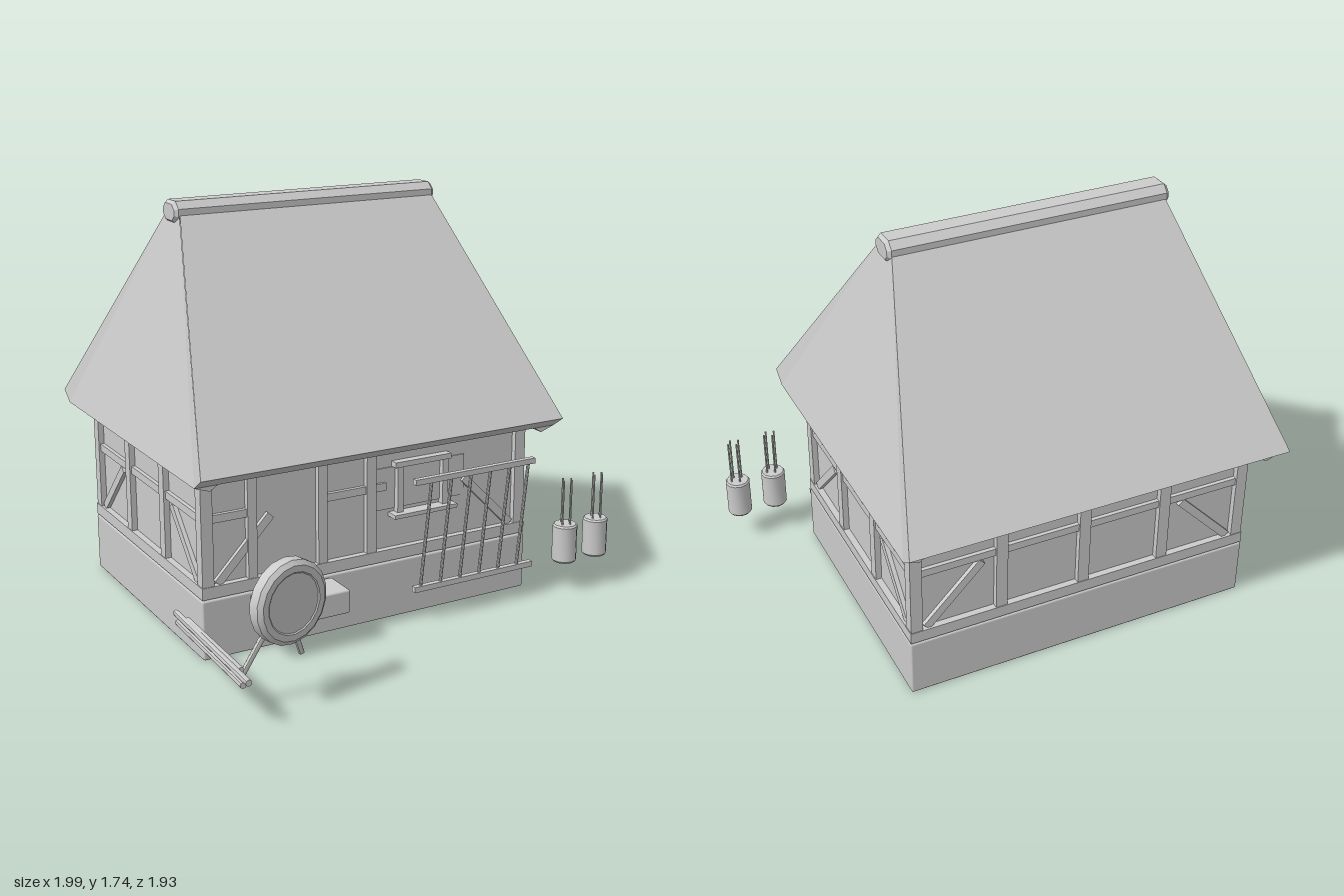
import * as THREE from 'three';
import { toCreasedNormals } from 'three/addons/utils/BufferGeometryUtils.js';
import { RoundedBoxGeometry } from 'three/addons/geometries/RoundedBoxGeometry.js';

const grey = new THREE.MeshStandardMaterial({ color: 0xcccccc });
grey.name = 'plain grey';

const V = (x, y, z) => new THREE.Vector3(x, y, z);

function add(parent, name, geometry) {
  const mesh = new THREE.Mesh(geometry, grey);
  mesh.name = name;
  parent.add(mesh);
  return mesh;
}

// Box given by its limits on each axis
function block(parent, name, x0, x1, y0, y1, z0, z1, bevel = 0) {
  const size = [x1 - x0, y1 - y0, z1 - z0];
  const geo = bevel ? new RoundedBoxGeometry(...size, 1, bevel) : new THREE.BoxGeometry(...size);
  const mesh = add(parent, name, geo);
  mesh.position.set((x0 + x1) / 2, (y0 + y1) / 2, (z0 + z1) / 2);
  return mesh;
}

// Round pole between two points
function pole(parent, name, a, b, r, sides = 8) {
  const geo = toCreasedNormals(new THREE.CylinderGeometry(r, r, a.distanceTo(b), sides), 0.9);
  const mesh = add(parent, name, geo);
  mesh.position.copy(a).lerp(b, 0.5);
  mesh.quaternion.setFromUnitVectors(V(0, 1, 0), b.clone().sub(a).normalize());
  return mesh;
}

// Flat-faced surface from corner loops
function faces(list) {
  const pos = [];
  for (const f of list)
    for (let i = 1; i < f.length - 1; i++) for (const p of [f[0], f[i], f[i + 1]]) pos.push(...p);
  const geo = new THREE.BufferGeometry();
  geo.setAttribute('position', new THREE.Float32BufferAttribute(pos, 3));
  geo.computeVertexNormals();
  return geo;
}

// House limits
const X0 = -0.885, X1 = 0.64, Z0 = -0.79, Z1 = 0.355, CX = (X0 + X1) / 2, CZ = (Z0 + Z1) / 2;

// Timber framing of one wall, drawn in the wall's own plane: u across, v up, outer face at 0
function timberWall(parent, name, width, posts, rails, braces) {
  const wall = new THREE.Group();
  wall.name = name;
  for (const [u, w] of posts) block(wall, 'post', u - w / 2, u + w / 2, 0.3, 0.77, -0.05, 0);
  for (const [a, b] of rails) block(wall, 'rail', a, b, 0.562, 0.595, -0.045, -0.008);
  for (const [a, b] of braces) {
    const dx = b - a, dy = 0.245;
    const beam = add(wall, 'brace', new THREE.BoxGeometry(Math.hypot(dx, dy), 0.035, 0.03));
    beam.position.set((a + b) / 2, 0.43, -0.022);
    beam.rotation.z = Math.atan2(dy, dx);
  }
  block(wall, 'topBeam', -width / 2, width / 2, 0.735, 0.775, -0.05, -0.005);
  parent.add(wall);
  return wall;
}

function buildWalls(house) {
  block(house, 'foundation', -0.89, 0.645, 0, 0.25, -0.795, 0.36, 0.008);
  block(house, 'sillBeam', X0 - 0.003, X1 + 0.003, 0.255, 0.305, Z0 - 0.003, Z1 + 0.003);
  block(house, 'plasterWalls', X0 + 0.025, X1 - 0.025, 0.24, 0.79, Z0 + 0.025, Z1 - 0.025);

  const W = X1 - X0, D = Z1 - Z0, even = (w, n) =>
    Array.from({ length: n + 1 }, (_, i) => [-(w - 0.05) / 2 + (i * (w - 0.05)) / n, 0.05]);
  const ends = (w) => [[-w / 2 + 0.07, -w / 2 + 0.31], [w / 2 - 0.07, w / 2 - 0.31]];

  // Back and both sides share one regular pattern
  const back = timberWall(house, 'backFrame', W, even(W, 4), [[-W / 2, W / 2]], ends(W));
  back.position.set(CX, 0, Z0);
  back.rotation.y = Math.PI;
  for (const s of [-1, 1]) {
    const side = timberWall(house, s > 0 ? 'leftFrame' : 'rightFrame', D, even(D, 3), [[-D / 2, D / 2]], ends(D));
    side.position.set(s > 0 ? X1 : X0, 0, CZ);
    side.rotation.y = (s * Math.PI) / 2;
  }
  // Front with doorway and window
  const u = (x) => x - CX;
  const front = timberWall(house, 'frontFrame', W,
    [[u(-0.86), 0.05], [u(-0.665), 0.04], [u(-0.35), 0.042], [u(-0.123), 0.045], [u(0.615), 0.05]],
    [[u(-0.86), u(-0.665)], [u(-0.33), u(-0.05)]],
    [[u(-0.815), u(-0.58)], [u(0.575), u(0.335)]]);
  front.position.set(CX, 0, Z1);

  block(house, 'windowPanel', -0.1, 0.34, 0.475, 0.655, 0.325, 0.335);
  block(house, 'windowHead', -0.015, 0.255, 0.657, 0.68, 0.33, 0.365);
  block(house, 'windowSill', -0.03, 0.275, 0.443, 0.46, 0.33, 0.387);
  for (const x of [-0.002, 0.218]) block(house, 'windowJamb', x, x + 0.027, 0.46, 0.657, 0.33, 0.36);
  block(house, 'doorStep', -0.69, -0.32, 0.145, 0.245, 0.37, 0.525, 0.008);
}

function buildRoof(house) {
  const xl = -0.955, xr = 0.708, tl = -0.715, tr = 0.47, ty = 1.68;
  const zc = -0.2175;
  const list = [];
  // Mirror front to back and left to right, reversing the loop for each flip
  const mirrorZ = (f) => f.map(([x, y, z]) => [x, y, 2 * zc - z]).reverse();
  const mirrorX = (f) => f.map(([x, y, z]) => [xl + xr - x, y, z]).reverse();
  const fb = -0.15, eave = 0.525, low = 0.462;
  const half = [
    [[xl, 0.805, eave], [xr, 0.805, eave], [tr, ty, fb], [tl, ty, fb]],
    [[xl, 0.76, low], [xr, 0.76, low], [xr, 0.805, eave], [xl, 0.805, eave]],
  ];
  for (const f of half) list.push(f, mirrorZ(f));
  const hip = [[xr, 0.76, low], [tr, ty, fb], [xr, 0.805, eave]].reverse();
  const hips = [hip, mirrorZ(hip)];
  for (const f of hips) list.push(f.slice().reverse(), mirrorX(f).reverse());
  const zb = 2 * zc - low, tb = 2 * zc - fb, xi = 0.643;
  const side = [
    [[xr, 0.76, low], [xr, 0.76, zb], [tr, ty, tb], [tr, ty, fb]],
    [[xi, 0.738, low], [xi, 0.738, zb], [xr, 0.76, zb], [xr, 0.76, low]],
    [[0.61, 0.76, low], [0.61, 0.76, zb], [xi, 0.738, zb], [xi, 0.738, low]],
    [[xi, 0.738, low], [xr, 0.76, low], [0.61, 0.76, low]],
    [[xi, 0.738, zb], [0.61, 0.76, zb], [xr, 0.76, zb]],
  ];
  for (const f of side) list.push(f, mirrorX(f));
  const x1 = xl + xr - 0.61;
  list.push([[x1, 0.76, zb], [0.61, 0.76, zb], [0.61, 0.76, low], [x1, 0.76, low]]);
  // Hip triangles must face outward from the roof's middle
  const mid = V((xl + xr) / 2, 1.1, zc);
  for (const f of list) {
    if (f.length !== 3 || f[1][1] < 1 && f[0][1] < 1 && f[2][1] < 1) continue;
    const [a, b, c] = f.map((p) => V(...p));
    if (b.clone().sub(a).cross(c.clone().sub(a)).dot(a.clone().sub(mid)) < 0) f.reverse();
  }
  add(house, 'thatchedRoof', faces(list));

  // Ridge cap: chamfered bar
  const w = 0.055, h = 0.033, c = 0.022;
  const shape = new THREE.Shape([[-w, -h + c], [-w + c, -h], [w - c, -h], [w, -h + c],
    [w, h - c], [w - c, h], [-w + c, h], [-w, h - c]].map(([x, y]) => new THREE.Vector2(x, y)));
  const geo = new THREE.ExtrudeGeometry(shape, { depth: 1.19, bevelThickness: 0.015, bevelSize: 0.012, bevelSegments: 1 });
  const cap = add(house, 'ridgeCap', geo.translate(0, 0, -0.595));
  cap.rotation.y = Math.PI / 2;
  cap.position.set(-0.125, 1.69, zc);
}

function buildYard(root) {
  // Drying rack
  const rack = new THREE.Group();
  rack.name = 'rack';
  for (const y of [0.14, 0.608]) block(rack, 'rackBar', 0.015, 0.61, y, y + 0.024, 0.45, 0.474);
  for (let i = 0; i < 6; i++) {
    const x = 0.098 + i * 0.097;
    pole(rack, 'rackPole', V(x - 0.05, 0.15, 0.462), V(x, 0.62, 0.462), 0.007);
  }
  // Tubs holding thin sticks
  for (const x of [0.775, 0.94]) {
    const tub = new THREE.Group();
    tub.name = 'tub';
    tub.position.set(x, 0.14, 0.482);
    const profile = [[0, 0], [0.048, 0], [0.054, 0.008], [0.054, 0.162], [0.048, 0.17], [0, 0.17]];
    const body = new THREE.LatheGeometry(profile.map((p) => new THREE.Vector2(...p)), 12);
    add(tub, 'tubBody', toCreasedNormals(body, 0.6));
    for (const [a, b] of [[-0.022, 0.01], [-0.005, -0.02], [0.012, 0.02], [0.028, -0.005]])
      pole(tub, 'stick', V(a, 0.15, b), V(a, 0.37, b), 0.004, 6);
    root.add(tub);
  }
  // Drum on a pair of props
  const drum = new THREE.Group();
  drum.name = 'drum';
  const rim = [[0, -0.036], [0.145, -0.036], [0.163, -0.022], [0.163, 0.022], [0.145, 0.036],
    [0.12, 0.036], [0.115, 0.032], [0, 0.032]].map((p) => new THREE.Vector2(...p));
  const body = add(drum, 'drumBody', toCreasedNormals(new THREE.LatheGeometry(rim, 18).rotateX(Math.PI / 2), 0.5));
  body.position.set(-0.775, 0.425, 0.87);
  body.rotation.y = 0.21;
  pole(drum, 'prop', V(-0.93, 0.145, 0.8), V(-0.745, 0.47, 0.835), 0.012);
  pole(drum, 'prop', V(-0.66, 0.145, 0.747), V(-0.79, 0.47, 0.83), 0.012);
  // Poles lying in a bundle
  const bundle = new THREE.Group();
  bundle.name = 'poleBundle';
  for (const [xa, xb, y, za, zb] of [[-0.965, -0.985, 0.19, 0.27, 0.965], [-0.955, -0.965, 0.19, 0.36, 0.86],
    [-0.97, -0.985, 0.162, 0.3, 0.92], [-0.96, -0.96, 0.162, 0.34, 0.87]])
    pole(bundle, 'loosePole', V(xa, y, za), V(xb, y, zb), 0.013);
  root.add(rack, drum, bundle);
}

export function createModel() {
  const root = new THREE.Group();
  root.name = 'farmhouse';
  const house = new THREE.Group();
  house.name = 'house';
  buildWalls(house);
  buildRoof(house);
  root.add(house);
  buildYard(root);
  return root;
}
